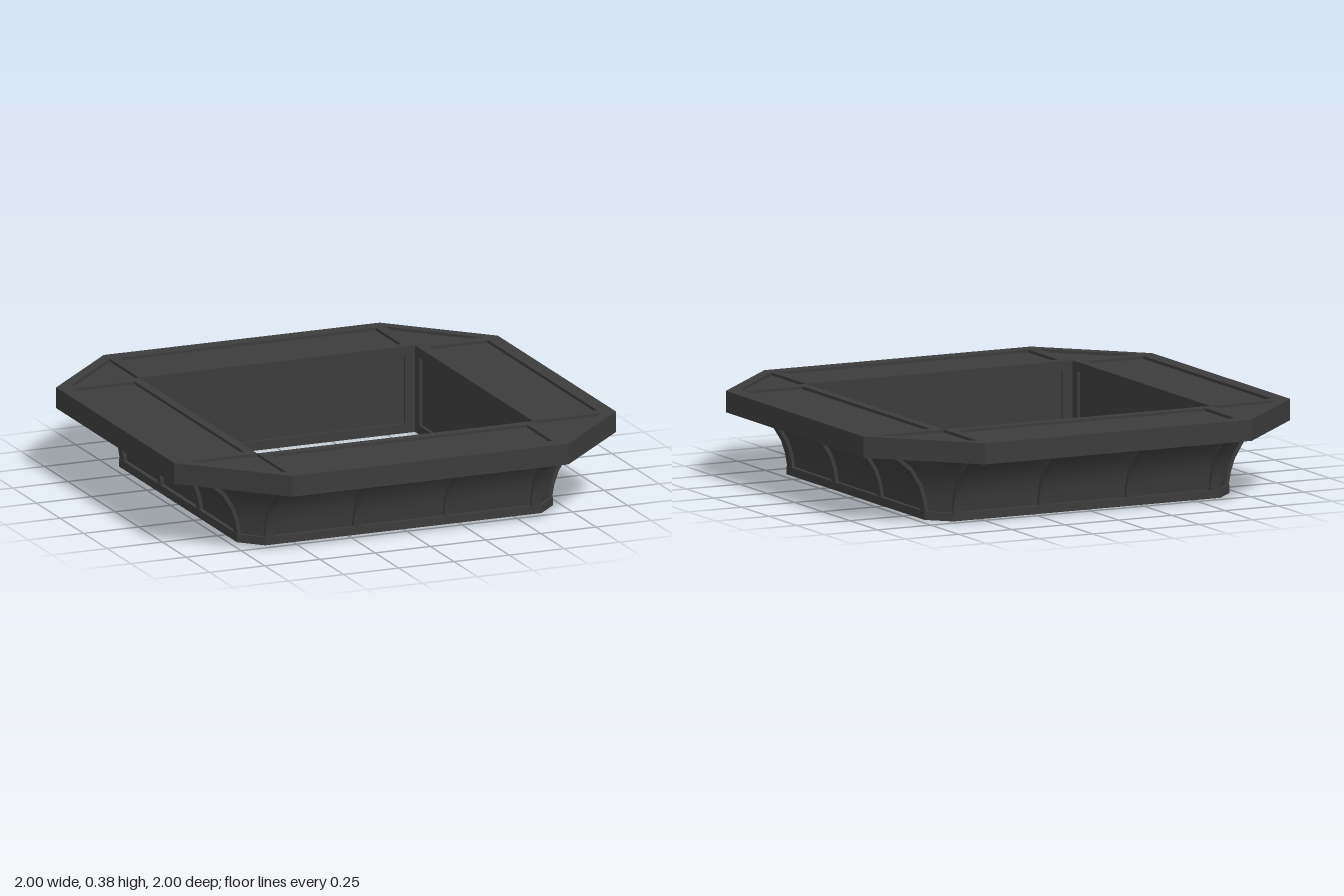
import * as THREE from 'three';
import { toCreasedNormals } from 'three/addons/utils/BufferGeometryUtils.js';

const INNER = 0.625, FOOT = 0.715, OUTER = 1;
const FOOT_TOP = 0.035, SOFFIT = 0.285, TOP = 0.375, RECESS = 0.012;

// Cove curves as [distance from centre, height]: raised ribs and sunk panels
const ribCove = [[0.712, 0.035], [0.722, 0.09], [0.741, 0.145], [0.782, 0.21], [0.84, 0.26], [0.915, 0.285]];
const panelCove = [[0.697, 0.035], [0.707, 0.095], [0.727, 0.153], [0.769, 0.221], [0.828, 0.271], [0.89, 0.285]];

const material = new THREE.MeshStandardMaterial({ color: 0x3c3c3c, side: THREE.DoubleSide });

function mesh(geometry, name) {
  const m = new THREE.Mesh(toCreasedNormals(geometry, 0.5), material);
  m.name = name;
  return m;
}

// Cross-section of a side; the top and inner wall may be sunk as panels
function sideProfile(cove, sunk) {
  const outline = [[INNER, 0], [FOOT, 0], [FOOT, FOOT_TOP], ...cove, [OUTER, SOFFIT], [OUTER, TOP]];
  if (sunk) {
    outline.push(
      [0.935, TOP], [0.935, TOP - RECESS], [0.665, TOP - RECESS], [0.665, TOP], [INNER, TOP],
      [INNER, 0.335], [INNER + RECESS, 0.335], [INNER + RECESS, 0.04], [INNER, 0.04]);
  } else {
    outline.push([INNER, TOP]);
  }
  return new THREE.Shape(outline.map(([r, y]) => new THREE.Vector2(r, y)));
}

// Length of a side from x = a to x = b
function sideSegment(a, b, cove, sunk, name) {
  const g = new THREE.ExtrudeGeometry(sideProfile(cove, sunk), { depth: b - a, bevelEnabled: false });
  g.rotateY(-Math.PI / 2).translate(b, 0, 0);
  return mesh(g, name);
}

function createSide() {
  const side = new THREE.Group();
  side.name = 'side';
  side.add(sideSegment(-INNER, -0.58, ribCove, false, 'endRib'));
  side.add(sideSegment(0.58, INNER, ribCove, false, 'endRib'));
  for (const x of [-0.205, 0.205]) {
    side.add(sideSegment(x - 0.02, x + 0.02, ribCove, true, 'middleRib'));
  }
  for (const [a, b] of [[-0.58, -0.225], [-0.185, 0.185], [0.225, 0.58]]) {
    side.add(sideSegment(a, b, panelCove, true, 'panelBay'));
  }
  return side;
}

// Chamfered corner: the profile swept between the ends of two sides
function createCorner() {
  const profile = [[INNER, 0], [FOOT, 0], [FOOT, FOOT_TOP], ...panelCove, [OUTER, SOFFIT], [OUTER, TOP],
    [0.935, TOP], [0.935, TOP - RECESS], [INNER, TOP - RECESS]];
  const positions = [];
  for (let i = 0; i < profile.length - 1; i++) {
    const [r0, y0] = profile[i], [r1, y1] = profile[i + 1];
    const a0 = [INNER, y0, r0], b0 = [r0, y0, INNER];
    const a1 = [INNER, y1, r1], b1 = [r1, y1, INNER];
    if (r0 > INNER) positions.push(...a0, ...b0, ...b1);
    if (r1 > INNER) positions.push(...a0, ...b1, ...a1);
  }
  const g = new THREE.BufferGeometry();
  g.setAttribute('position', new THREE.Float32BufferAttribute(positions, 3));
  return mesh(g, 'corner');
}

export function createModel() {
  const model = new THREE.Group();
  model.name = 'corniceRing';
  // Four identical sides and corners around the square opening
  for (let i = 0; i < 4; i++) {
    const quarter = new THREE.Group();
    quarter.name = 'quarter' + (i + 1);
    quarter.add(createSide(), createCorner());
    quarter.rotation.y = i * Math.PI / 2;
    model.add(quarter);
  }
  return model;
}
